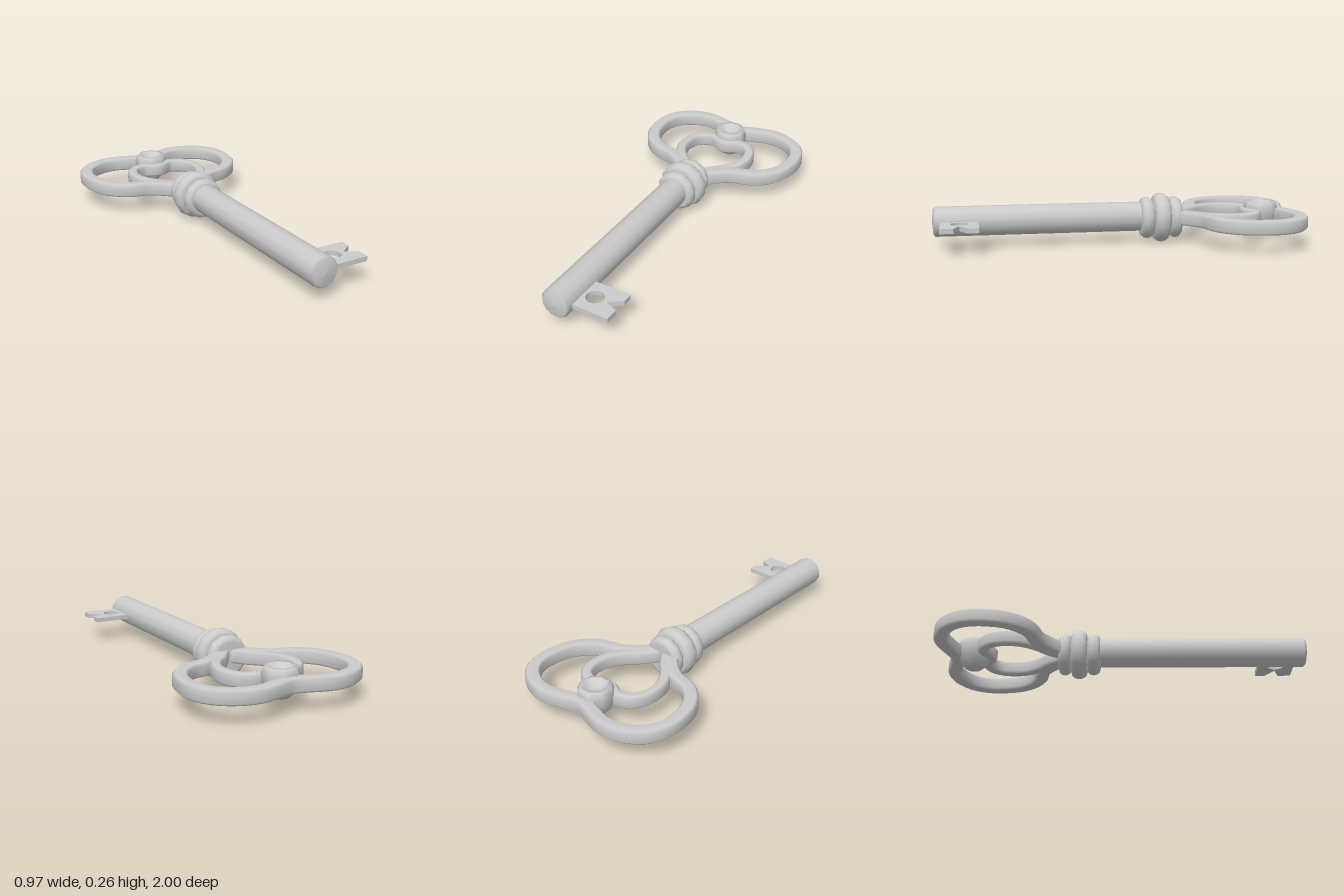
import * as THREE from 'three';

const AXIS_X = -0.005, AXIS_Y = 0.137;
const mat = new THREE.MeshStandardMaterial({ color: 0xcccccc });
const thinMat = new THREE.MeshStandardMaterial({ color: 0xcccccc, side: THREE.DoubleSide });

function add(group, name, geometry, x, y, z, material = mat) {
  const mesh = new THREE.Mesh(geometry, material);
  mesh.name = name;
  mesh.position.set(x, y, z);
  group.add(mesh);
}

// Lathe profile [radius, height]
const lathe = (pts, n) =>
  new THREE.LatheGeometry(pts.map(([r, h]) => new THREE.Vector2(r, h)), n, Math.PI / n);

// Sweeps a bevelled bar section along a flat, left-right symmetric path of [x, z]
function sweepBar(half, halfW, halfH, bevel, steps) {
  const mirrored = half.slice(1).reverse().map(([x, z]) => [-x, z]);
  const curve = new THREE.CatmullRomCurve3(
    [...mirrored, ...half].map(([x, z]) => new THREE.Vector3(x, 0, z)));
  const w = halfW - bevel, h = halfH - bevel;
  const section = [[halfW, -h], [halfW, h], [w, halfH], [-w, halfH],
    [-halfW, h], [-halfW, -h], [-w, -halfH], [w, -halfH]];
  const n = section.length, pos = [], index = [];
  for (let i = 0; i <= steps; i++) {
    const p = curve.getPointAt(i / steps), t = curve.getTangentAt(i / steps);
    // sideways direction = up x tangent
    for (const [a, b] of section) pos.push(p.x + t.z * a, b, p.z - t.x * a);
    if (i === steps) break;
    for (let j = 0; j < n; j++) {
      const a = i * n + j, b = i * n + (j + 1) % n;
      index.push(a, a + n, b, b, a + n, b + n);
    }
  }
  const g = new THREE.BufferGeometry();
  g.setAttribute('position', new THREE.Float32BufferAttribute(pos, 3));
  // orient faces outward
  for (let i = 0; i < index.length; i += 3) [index[i + 1], index[i + 2]] = [index[i + 2], index[i + 1]];
  g.setIndex(index);
  g.computeVertexNormals();
  return g;
}

export function createModel() {
  const key = new THREE.Group();
  key.name = 'key';

  // Shaft with a softly domed tip
  const shaft = lathe([[0, -0.16], [0.081, -0.16], [0.081, 0.981], [0.07, 0.993], [0, 1]], 12);
  add(key, 'shaft', shaft.rotateX(Math.PI / 2), AXIS_X, AXIS_Y + 0.003, 0);

  // Collar of three rounded rings
  const profile = [[0, -0.355]];
  for (const [z0, z1, r] of [[-0.355, -0.286, 0.115], [-0.286, -0.2, 0.136], [-0.2, -0.127, 0.115]]) {
    for (let i = 0; i <= 6; i++) {
      const a = Math.PI * i / 6;
      profile.push([r - 0.03 + 0.03 * Math.sin(a), (z0 + z1) / 2 - Math.cos(a) * (z1 - z0) / 2]);
    }
  }
  profile.push([0, -0.127]);
  add(key, 'collar', lathe(profile, 12).rotateX(Math.PI / 2), AXIS_X + 0.002, 0.132, 0);

  // Bow: large double loop and the inner heart
  const outer = [[0, -0.91], [0.1, -0.937], [0.2, -0.963], [0.3, -0.947], [0.39, -0.89],
    [0.436, -0.81], [0.445, -0.725], [0.42, -0.605], [0.362, -0.525], [0.295, -0.482],
    [0.2, -0.458], [0.13, -0.41], [0.05, -0.33]];
  add(key, 'bowLoops', sweepBar(outer, 0.038, 0.037, 0.012, 56), 0, AXIS_Y, 0, thinMat);
  const heart = [[0, -0.725], [0.085, -0.76], [0.155, -0.735], [0.19, -0.685], [0.202, -0.61],
    [0.185, -0.535], [0.14, -0.465], [0.085, -0.412], [0.03, -0.34]];
  add(key, 'bowHeart', sweepBar(heart, 0.03, 0.036, 0.012, 48), 0, AXIS_Y, 0, thinMat);

  // Rounded boss with a dished top
  const boss = lathe([[0, 0.04], [0.045, 0.051], [0.075, 0.08], [0.093, 0.13], [0.096, 0.175],
    [0.082, 0.208], [0.062, 0.208], [0.04, 0.182], [0, 0.175]], 8);
  add(key, 'bowBoss', boss, -0.003, 0, -0.82);

  // Bit: thin plate with a round hole and a notch
  const plate = new THREE.Shape([[0.05, 0.755], [0.273, 0.755], [0.273, 0.81], [0.203, 0.855],
    [0.273, 0.885], [0.273, 0.955], [0.05, 0.955]].map(([x, z]) => new THREE.Vector2(x, z)));
  plate.holes.push(new THREE.Path().absarc(0.137, 0.855, 0.046, 0, Math.PI * 2, true));
  const bit = new THREE.ExtrudeGeometry(plate, { depth: 0.026, bevelEnabled: false, curveSegments: 16 });
  add(key, 'bit', bit.rotateX(Math.PI / 2), 0, 0.148, 0);

  return key;
}
